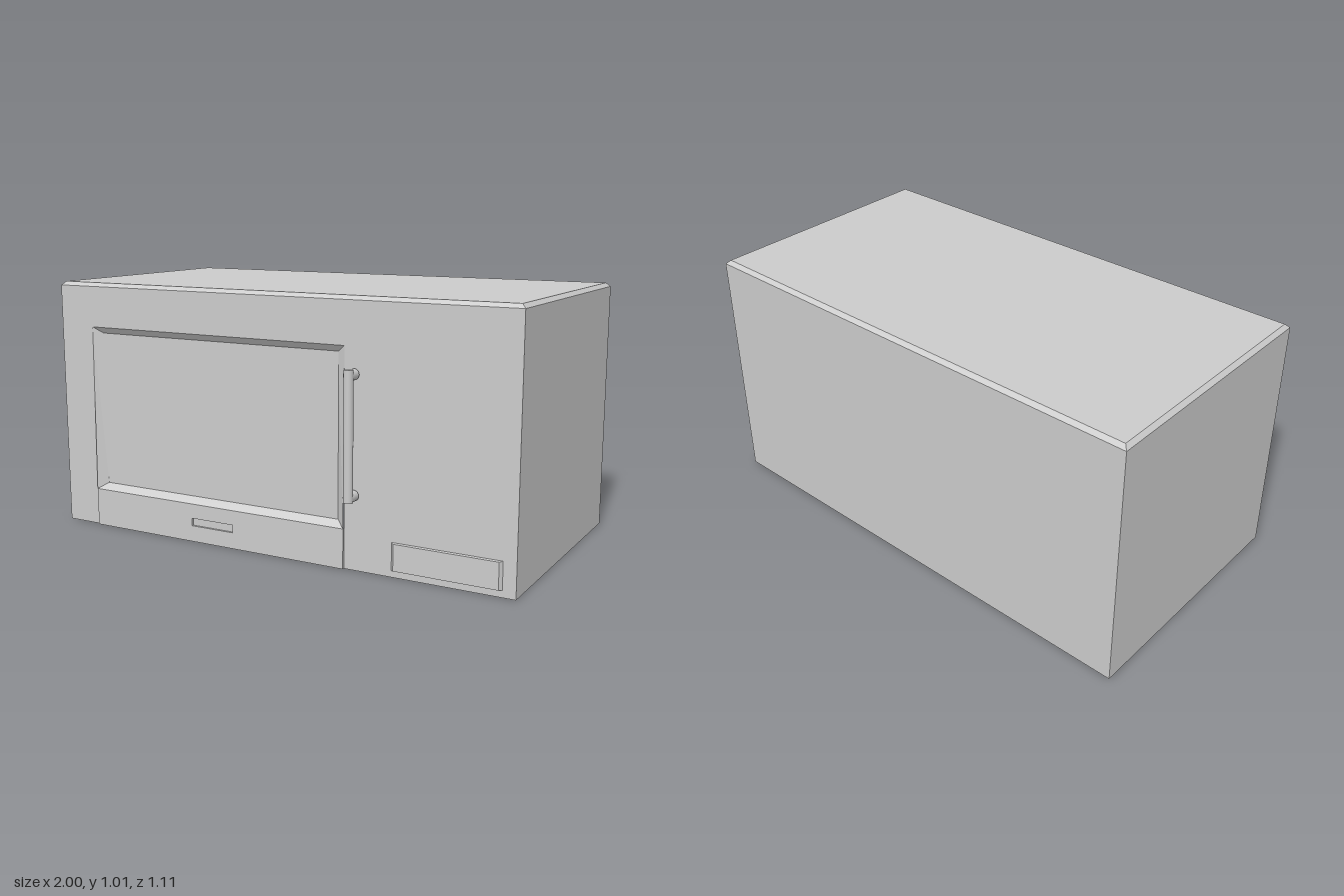
import * as THREE from 'three';

const material = new THREE.MeshStandardMaterial({ color: 0xcccccc, flatShading: true });
const smooth = new THREE.MeshStandardMaterial({ color: 0xcccccc });

// Body extents
const FRONT = 0.478, BACK = -0.555, WALL_TOP = 1.0, TOP = 1.015, INSET = 0.016;

// Skins four-cornered rings; `skip` leaves out one side of the first band.
function loft(rings, { startCap = false, endCap = false, skip = -1 } = {}) {
  const pos = [];
  const quad = (a, b, c, d) => [a, b, c, a, c, d].forEach((p) => pos.push(...p));
  for (let r = 0; r < rings.length - 1; r++) {
    const a = rings[r], b = rings[r + 1];
    for (let i = 0; i < 4; i++) {
      if (r === 0 && i === skip) continue;
      const j = (i + 1) % 4;
      quad(a[i], a[j], b[j], b[i]);
    }
  }
  if (startCap) quad(...[...rings[0]].reverse());
  if (endCap) quad(...rings[rings.length - 1]);
  const g = new THREE.BufferGeometry();
  g.setAttribute('position', new THREE.Float32BufferAttribute(pos, 3));
  g.computeVertexNormals();
  return g;
}

// Horizontal ring at height y, inset from the body outline
const flatRing = (y, d) => [
  [-1 + d, y, FRONT - d], [1 - d, y, FRONT - d], [1 - d, y, BACK + d], [-1 + d, y, BACK + d],
];

// Upright ring facing +z; the lower edge may lie at its own depth
const faceRing = (x0, x1, y0, y1, zTop, zBottom = zTop) => [
  [x0, y0, zBottom], [x1, y0, zBottom], [x1, y1, zTop], [x0, y1, zTop],
];

function rect(x0, x1, y0, y1, Type = THREE.Shape) {
  return new Type([[x0, y0], [x1, y0], [x1, y1], [x0, y1]].map((p) => new THREE.Vector2(...p)));
}

export function createModel() {
  const model = new THREE.Group();
  model.name = 'microwaveOven';
  const add = (name, geometry, parent = model, mat = material) => {
    const mesh = new THREE.Mesh(geometry, mat);
    mesh.name = name;
    parent.add(mesh);
    return mesh;
  };

  // Casing with chamfered top, open at the front
  add('casing', loft([flatRing(0, 0), flatRing(WALL_TOP, 0), flatRing(TOP, INSET)],
    { startCap: true, endCap: true, skip: 0 }));

  // Front face with the window opening
  const frontShape = rect(-1, 1, 0, WALL_TOP);
  frontShape.holes.push(rect(-0.84, 0.33, 0.155, 0.835, THREE.Path));
  add('frontFace', new THREE.ShapeGeometry(frontShape)).position.z = FRONT;

  // Recessed window with sloping reveals
  add('window', loft([
    faceRing(-0.84, 0.33, 0.155, 0.835, FRONT, 0.487),
    faceRing(-0.80, 0.295, 0.18, 0.81, 0.459),
  ], { endCap: true }));

  // Lower door panel with a shallow slot
  const panelShape = rect(-0.84, 0.33, 0, 0.155);
  panelShape.holes.push(rect(-0.355, -0.16, 0.065, 0.096, THREE.Path));
  add('lowerPanel', new THREE.ExtrudeGeometry(panelShape, { depth: 0.009, bevelEnabled: false }))
    .position.z = FRONT;

  // Raised button plate, bevelled at its ends
  add('buttonPlate', loft([
    faceRing(0.525, 0.95, 0.026, 0.132, FRONT),
    faceRing(0.537, 0.94, 0.028, 0.13, 0.49),
  ], { endCap: true }));

  // Door handle: upright grip on two posts
  const handle = new THREE.Group();
  handle.name = 'handle';
  model.add(handle);
  add('grip', new THREE.CylinderGeometry(0.018, 0.018, 0.485, 20), handle, smooth)
    .position.set(0.38, 0.5175, 0.54);
  for (const [name, y] of [['upperPost', 0.736], ['lowerPost', 0.289]]) {
    const post = add(name, new THREE.CylinderGeometry(0.021, 0.021, 0.045, 20), handle, smooth);
    post.rotation.x = Math.PI / 2;
    post.position.set(0.375, y, 0.5105);
  }

  return model;
}
